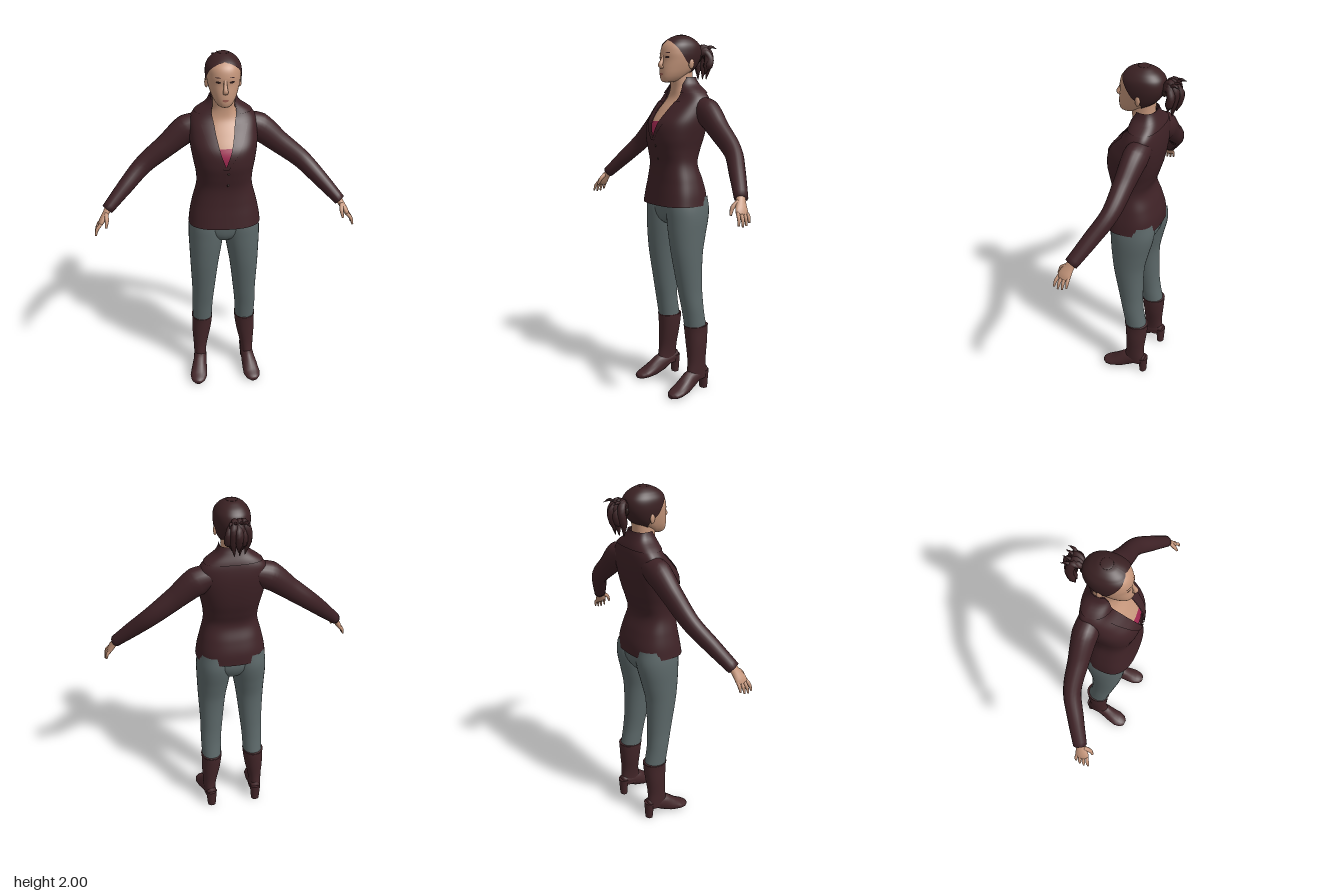
import * as THREE from 'three';

const mat = (name, color, side = THREE.FrontSide) => {
  const m = new THREE.MeshStandardMaterial({ color, side });
  m.name = name;
  return m;
};

// Joins equal-length rings of points into one smooth surface.
function loft(rings, closed = true) {
  const n = rings[0].length, pos = [], idx = [];
  rings.forEach(r => r.forEach(p => pos.push(p.x, p.y, p.z)));
  for (let i = 0; i < rings.length - 1; i++)
    for (let j = 0; j < (closed ? n : n - 1); j++) {
      const k = (j + 1) % n, a = i * n + j, b = i * n + k, c = b + n, d = a + n;
      idx.push(a, b, c, a, c, d);
    }
  const g = new THREE.BufferGeometry();
  g.setAttribute('position', new THREE.Float32BufferAttribute(pos, 3));
  g.setIndex(idx);
  g.computeVertexNormals();
  return g;
}

// Smoothly interpolated row of a body profile at height y.
function rowAt(rows, y) {
  let i = 0;
  while (i < rows.length - 2 && y > rows[i + 1][0]) i++;
  const a = rows[i], b = rows[i + 1], p = rows[i - 1] || a, q = rows[i + 2] || b;
  const h = b[0] - a[0], t = THREE.MathUtils.clamp((y - a[0]) / h, 0, 1);
  return a.map((v, k) => {
    if (k === 0) return y;
    const m0 = (b[k] - p[k]) / (b[0] - p[0]) * h, m1 = (q[k] - v) / (q[0] - a[0]) * h;
    return (2 * t ** 3 - 3 * t * t + 1) * v + (t ** 3 - 2 * t * t + t) * m0
      + (3 * t * t - 2 * t ** 3) * b[k] + (t ** 3 - t * t) * m1;
  });
}

// Horizontal-section body. Row: [y, halfWidth, zFront, zBack, zMid, xCentre, frontGap]
function band(rows, { y0 = rows[0][0], y1 = rows.at(-1)[0], n = 30, seg = 32, e = 0.85, off = 0, side = 1, range } = {}) {
  const rings = [];
  for (let i = 0; i <= n; i++) {
    const t = i / n, r = rowAt(rows, y0 + (y1 - y0) * t);
    const [y, w, zf, zb, zc, cx = 0, gap = 0] = r;
    const [a0, a1] = range ? range(t, gap) : [0, Math.PI * 2];
    const ring = [];
    for (let j = 0; j < (range ? seg + 1 : seg); j++) {
      const a = a0 + (a1 - a0) * j / seg, s = Math.sin(a), c = Math.cos(a);
      const depth = c > 0 ? zf - zc + off : zc - zb + off;
      ring.push(new THREE.Vector3(
        side * cx + (Math.max(w, 0) + off) * Math.sign(s) * Math.abs(s) ** e, y,
        zc + depth * Math.sign(c) * Math.abs(c) ** e));
    }
    rings.push(ring);
  }
  return loft(rings, !range);
}

// Tapered limb along a curve. Section: [x, y, z, radiusAcross, radiusTowardRef]
function limb(secs, { ref = [0, 0, 1], n = 20, seg = 16, side = 1 } = {}) {
  const curve = new THREE.CatmullRomCurve3(secs.map(s => new THREE.Vector3(s[0] * side, s[1], s[2])));
  const up = new THREE.Vector3(...ref), rings = [];
  for (let i = 0; i <= n; i++) {
    const t = i / n, f = t * (secs.length - 1), k = Math.min(Math.floor(f), secs.length - 2);
    const c = curve.getPoint(t), T = curve.getTangent(t);
    const U = T.clone().cross(up).normalize(), W = U.clone().cross(T);
    const r = [3, 4].map(q => THREE.MathUtils.lerp(secs[k][q], secs[k + 1][q], f - k));
    const ring = [];
    for (let j = 0; j < seg; j++) {
      const a = j / seg * Math.PI * 2;
      ring.push(c.clone().addScaledVector(U, r[0] * Math.sin(a)).addScaledVector(W, r[1] * Math.cos(a)));
    }
    if (i === 0) rings.push(ring.map(() => c.clone()));
    rings.push(ring);
    if (i === n) rings.push(ring.map(() => c.clone()));
  }
  return loft(rings);
}

const TORSO = [
  [1.085, .197, .19, -.105, .06, 0, 0], [1.15, .188, .18, -.1, .055, 0, 0], [1.22, .172, .17, -.08, .05, 0, 0],
  [1.31, .15, .165, -.05, .05, 0, 0], [1.38, .152, .178, -.068, .045, 0, 0], [1.45, .165, .189, -.09, .035, 0, 0],
  [1.53, .178, .177, -.105, .01, 0, .1], [1.6, .18, .125, -.11, -.02, 0, .18], [1.66, .172, .07, -.105, -.035, 0, .25],
  [1.7, .135, .052, -.095, -.035, 0, .4], [1.735, .085, .045, -.08, -.03, 0, .65], [1.77, .065, .03, -.065, -.02, 0, 1]];
const CHEST = [
  [1.4, .12, .16, -.05, .03], [1.47, .14, .174, -.07, .02], [1.53, .145, .16, -.07, .01], [1.6, .14, .112, -.07, -.01],
  [1.66, .1, .068, -.07, -.01], [1.71, .063, .058, -.062, 0], [1.76, .057, .062, -.058, 0], [1.82, .056, .07, -.06, 0]];
const HEAD = [
  [1.745, 0, .1, .09, .095], [1.75, .028, .122, .06, .08], [1.765, .046, .131, .025, .06], [1.79, .062, .133, -.02, .04],
  [1.82, .074, .131, -.065, .02], [1.86, .084, .125, -.095, .01], [1.9, .088, .124, -.108, .005], [1.94, .083, .112, -.103, .005],
  [1.968, .065, .085, -.08, .002], [1.985, .044, .056, -.053, 0], [1.996, .02, .026, -.026, 0], [1.998, 0, 0, 0, 0]];
const HAIRLINE = [[1.775, 2.5], [1.8, 2.15], [1.83, 1.75], [1.86, 1.42], [1.9, 1.15], [1.935, .85], [1.96, .4], [1.97, 0], [2, 0]];
const LEG = [
  [.375, .057, .06, -.068, 0, .129], [.44, .059, .07, -.055, .01, .128], [.5, .061, .08, -.046, .02, .127],
  [.6, .065, .1, -.04, .03, .121], [.8, .08, .135, -.045, .045, .113], [.92, .092, .148, -.07, .04, .105],
  [1, .099, .152, -.09, .035, .1], [1.06, .098, .153, -.098, .035, .098], [1.13, .09, .145, -.09, .035, .095]];
const PELVIS = [[.95, .015, .06, -.01, .03], [.985, .07, .125, -.06, .035], [1.05, .165, .148, -.09, .035], [1.14, .175, .145, -.085, .035]];
const SHAFT = [
  [.07, .036, .075, -.068, 0, .145], [.12, .037, .064, -.062, 0, .147], [.18, .042, .055, -.058, 0, .144],
  [.28, .055, .057, -.068, -.005, .136], [.36, .06, .062, -.076, -.005, .13], [.392, .062, .066, -.077, -.005, .13]];

export function createModel() {
  const root = new THREE.Group();
  const D = THREE.DoubleSide;
  const jacket = mat('dark brown jacket', 0x3e2226, D), hair = mat('dark brown hair', 0x3a2123, D);
  const boot = mat('brown boots', 0x432629), pants = mat('grey trousers', 0x5c6869);
  const skin = mat('skin', 0xc4957a), pink = mat('raspberry top', 0xa02850);
  const dark = mat('dark eyes', 0x2a1a18, D), lips = mat('lips', 0x9c5f52, D);
  const add = (name, geo, m, parent = root) => {
    const mesh = new THREE.Mesh(geo, m);
    mesh.name = name;
    parent.add(mesh);
    return mesh;
  };
  const group = name => { const g = new THREE.Group(); g.name = name; root.add(g); return g; };

  // Torso: open-fronted jacket over the chest and top
  const coat = group('jacket');
  add('jacketBody', band(TORSO, { n: 60, seg: 56, e: .8, range: (t, g) => [g, 2 * Math.PI - g] }), jacket, coat);
  add('collar', band(TORSO, { y0: 1.69, y1: 1.775, n: 8, seg: 40, e: .8, off: .007, range: (t, g) => [g, 2 * Math.PI - g] }), jacket, coat);
  for (const s of [1, -1]) {
    const lapel = (t, g) => {
      const w = g + .05 + .36 * t;
      return s > 0 ? [g, w] : [-w, -g];
    };
    add('lapel', band(TORSO, { y0: 1.44, y1: 1.645, n: 16, seg: 6, e: .8, off: .006, range: lapel }), jacket, coat);
  }
  for (const y of [1.34, 1.41]) {
    const b = add('button', new THREE.SphereGeometry(.007, 10, 8), dark, coat);
    b.position.set(.012, y, rowAt(TORSO, y)[2]);
    b.scale.z = .5;
  }
  add('top', band(CHEST, { y1: 1.54, n: 10 }), pink);
  add('neckAndChest', band(CHEST, { y0: 1.54 }), skin);

  // Head, face and hair
  const head = group('head');
  add('skull', band(HEAD, { n: 56, e: .9 }), skin, head);
  add('nose', limb([[0, 1.893, .117, .008, .006], [0, 1.86, .13, .009, .01], [0, 1.836, .14, .014, .013], [0, 1.824, .128, .013, .008]],
    { n: 14, seg: 12 }), skin, head);
  const face = (name, m, y0, y1, a0, a1, off) => add(name, band(HEAD, {
    y0, y1, n: 6, seg: 10, e: .9, off, range: t => {
      const c = (a0 + a1) / 2, h = (a1 - a0) / 2 * Math.sqrt(Math.max(.05, 1 - (2 * t - 1) ** 2));
      return [c - h, c + h];
    }
  }), m, head);
  face('mouth', lips, 1.783, 1.796, -.22, .22, .003);
  for (const s of [1, -1]) {
    const [a, b] = s > 0 ? [.2, .52] : [-.52, -.2];
    face('eye', dark, 1.873, 1.884, a, b, .002);
    face('eyebrow', hair, 1.899, 1.904, a * 1.05, b * 1.05, .002);
    const ear = add('ear', new THREE.SphereGeometry(.026, 14, 10), skin, head);
    ear.position.set(s * .086, 1.845, -.002);
    ear.scale.set(.35, 1.05, .6);
    ear.rotation.y = -s * .3;
  }
  add('hairCap', band(HEAD, {
    y0: 1.775, y1: 1.998, n: 56, seg: 44, e: .9, off: .005,
    range: t => { const g = rowAt(HAIRLINE, 1.775 + .223 * t)[1]; return [Math.max(g, 0), 2 * Math.PI - Math.max(g, 0)]; }
  }), hair, head);
  add('crownHair', new THREE.SphereGeometry(.03, 20, 8), hair, head).position.set(0, 1.9965, 0);
  head.children.at(-1).scale.y = .12;

  // Ponytail of curling tapered strands
  const tail = group('ponytail');
  add('tie', new THREE.TorusGeometry(.02, .01, 8, 16), dark, tail).position.set(0, 1.885, -.112);
  for (let i = 0; i < 9; i++) {
    const a = (i - 4) / 4, lift = (i % 3) * .012, z = -.2 + Math.abs(a) * .03 + (i % 2) * .012;
    add('strand', limb([[0, 1.885, -.095, .014, .014], [a * .028, 1.935 - lift, -.142, .02, .02], [a * .046, 1.9 - lift, z + .008, .022, .02],
      [a * .05, 1.835, z + .018, .021, .018], [a * .036, 1.765 + lift * 2, z + .028, .002, .002]], { ref: [1, 0, .2], seg: 8, n: 16 }), hair, tail);
  }
  for (const x of [-.045, -.015, .02, .05])
    add('looseTip', limb([[x * .3, 1.9, -.14, .012, .012], [x * .8, 1.94, -.172, .009, .009], [x, 1.955 - Math.abs(x) * .5, -.205, .001, .001]],
      { ref: [1, 0, .2], seg: 6, n: 8 }), hair, tail);

  add('hips', band(PELVIS, { n: 14 }), pants);
  for (const side of [1, -1]) {
    // Arms and hands
    const arm = group(side > 0 ? 'leftArm' : 'rightArm');
    add('sleeve', limb([[.11, 1.615, -.035, .06, .06], [.19, 1.586, -.034, .077, .066], [.3, 1.5, -.025, .061, .054],
      [.43, 1.397, -.01, .051, .045], [.53, 1.3, .045, .043, .042], [.632, 1.197, .108, .031, .036]], { n: 30, seg: 20, side }), jacket, arm);
    add('palm', limb([[.62, 1.21, .1, .02, .024], [.64, 1.18, .115, .017, .026], [.662, 1.145, .13, .016, .036], [.675, 1.122, .137, .011, .034]],
      { n: 10, side }), skin, arm);
    for (let i = 0; i < 4; i++) {
      const z = (i - 1.5) * .017, l = [.8, .96, 1, .9][i];
      add('finger', limb([[.665, 1.138, .133 + z, .009, .009], [.665 + .026 * l, 1.138 - .03 * l, .138 + z * 1.25, .009, .009],
        [.665 + .036 * l, 1.138 - .066 * l, .143 + z * 1.35, .005, .005]], { n: 8, seg: 8, side }), skin, arm);
    }
    add('thumb', limb([[.638, 1.185, .13, .012, .012], [.634, 1.158, .163, .011, .011], [.64, 1.122, .18, .006, .006]],
      { n: 8, seg: 8, side, ref: [1, 0, 0] }), skin, arm);

    // Legs and heeled boots
    const leg = group(side > 0 ? 'leftLeg' : 'rightLeg');
    add('trouserLeg', band(LEG, { n: 40, side, e: .95 }), pants, leg);
    add('bootShaft', band(SHAFT, { n: 24, side, e: .95 }), boot, leg);
    add('bootRim', band([[.388, .063, .067, -.078, -.005, .13], [.393, .05, .055, -.06, -.005, .13]], { n: 2, side, e: .95 }), boot, leg);
    add('foot', limb([[.142, .1, -.066, .028, .035], [.145, .098, -.01, .037, .042], [.15, .075, .05, .04, .053], [.158, .047, .1, .047, .044],
      [.165, .029, .15, .051, .028], [.17, .021, .185, .04, .02], [.172, .017, .204, .02, .013]], { ref: [0, 1, 0], n: 24, side }), boot, leg);
    const heel = add('heel', new THREE.CylinderGeometry(.034, .025, .11, 16), boot, leg);
    heel.position.set(side * .142, .055, -.053);
    heel.scale.z = .85;
  }
  return root;
}
